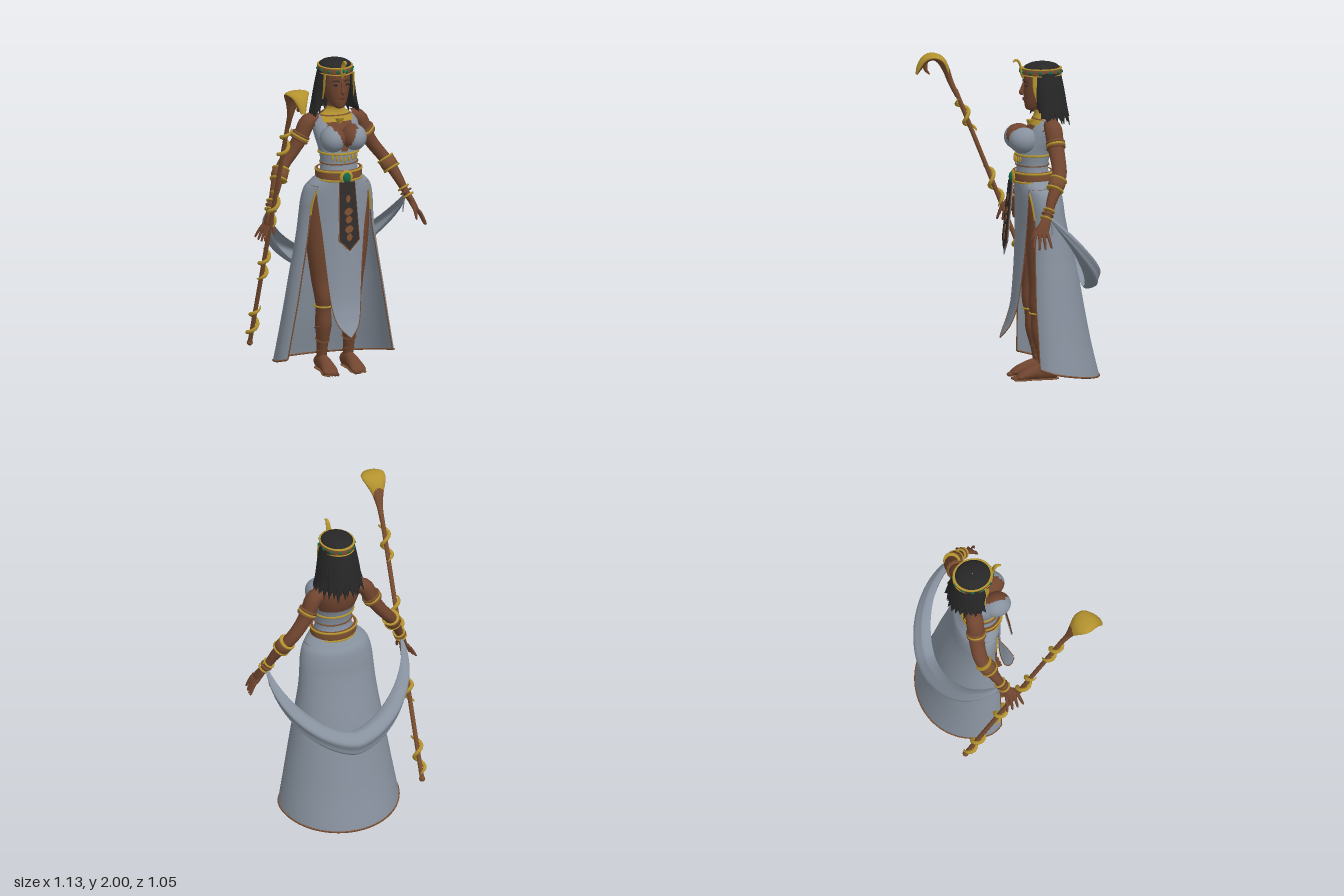
import * as THREE from 'three';
import { ParametricGeometry } from 'three/addons/geometries/ParametricGeometry.js';

const { sin, cos, PI, abs, max, min, floor } = Math;
const V = (x, y, z) => new THREE.Vector3(x, y, z);
const X = V(1, 0, 0), Y = V(0, 1, 0), Z = V(0, 0, 1);

// Catmull-Rom through rows of numbers, all columns at once
function spline(rows, t) {
  const n = rows.length - 1, f = min(max(t, 0), 1) * n, i = min(floor(f), n - 1), k = f - i;
  const [a, b, c, d] = [max(i - 1, 0), i, i + 1, min(i + 2, n)].map(j => rows[j]);
  return b.map((q, j) => q + 0.5 * k * (c[j] - a[j] + k * (2 * a[j] - 5 * q + 4 * c[j] - d[j] + k * (3 * (q - c[j]) + d[j] - a[j]))));
}

// Horizontal ellipses; rows are [y, halfWidth, zFront, zBack] from bottom to top
function loft(rows, seg = 40, stacks = rows.length * 4) {
  return new ParametricGeometry((u, v, o) => {
    const [y, w, f, b] = spline(rows, v), a = u * 2 * PI;
    o.set(w * sin(a), y, (f + b) / 2 + (f - b) / 2 * cos(a));
  }, seg, stacks);
}

// Ellipses swept along a path; rows are [x, y, z, radius across ref, radius along ref]
function sweep(rows, ref = Z, seg = 14, stacks = rows.length * 4) {
  return new ParametricGeometry((u, v, o) => {
    const p = spline(rows, v), a = spline(rows, v - 0.002), b = spline(rows, v + 0.002);
    const T = V(b[0] - a[0], b[1] - a[1], b[2] - a[2]).normalize();
    const B = ref.clone().addScaledVector(T, -ref.dot(T)).normalize(), A = B.clone().cross(T);
    o.set(p[0], p[1], p[2]).addScaledVector(A, p[3] * cos(u * 2 * PI)).addScaledVector(B, p[4] * sin(u * 2 * PI));
  }, seg, stacks);
}

// Sort faces into material groups by centre and normal
function paint(geo, count, pick) {
  const P = geo.attributes.position, I = geo.index.array, lists = Array.from({ length: count }, () => []);
  const tri = new THREE.Triangle(), c = V(), n = V();
  for (let i = 0; i < I.length; i += 3) {
    tri.setFromAttributeAndIndices(P, I[i], I[i + 1], I[i + 2]);
    lists[pick(tri.getMidpoint(c), tri.getNormal(n))].push(I[i], I[i + 1], I[i + 2]);
  }
  geo.setIndex(lists.flat());
  let start = 0;
  lists.forEach((l, i) => { geo.addGroup(start, l.length, i); start += l.length; });
  return geo;
}

export function createModel() {
  const root = new THREE.Group();
  const mat = (name, color, side = THREE.FrontSide) => Object.assign(new THREE.MeshStandardMaterial({ color, side }), { name });
  const skin = mat('skin', 0x70452f), cloth = mat('grey cloth', 0x87919e, THREE.DoubleSide), gold = mat('gold', 0xb3922e);
  const copper = mat('copper', 0x7a4e30), hair = mat('black hair', 0x272727, THREE.DoubleSide);
  const green = mat('green gem', 0x12694a), black = mat('black cloth', 0x2f2c2b), lip = mat('lips', 0x5e3226);
  const add = (name, geo, m) => {
    const mesh = new THREE.Mesh(geo, m);
    mesh.name = name;
    root.add(mesh);
    return mesh;
  };
  const ball = (name, m, x, y, z, rx, ry = rx, rz = rx) => {
    const b = add(name, new THREE.SphereGeometry(1, 14, 10), m);
    b.position.set(x, y, z);
    b.scale.set(rx, ry, rz);
    return b;
  };
  const band = (name, m, y0, y1, w, f, b, t = 0.015) => add(name, loft([[y0, w - t, f - t, b + t], [y0, w, f, b],
    [y1, w, f, b], [y1, w - t, f - t, b + t]], 48, 9), m);
  const ring = (name, m, p, dir, r, tube) => {
    const t = add(name, new THREE.TorusGeometry(r, tube, 8, 24), m);
    t.position.set(...p);
    t.quaternion.setFromUnitVectors(Z, dir.clone().normalize());
    return t;
  };

  // Torso with bodice, straps and broad collar
  const torso = loft([[1.16, .17, -.03, -.25], [1.22, .145, -.01, -.225], [1.28, .122, -.005, -.205], [1.34, .116, -.01, -.2],
    [1.42, .126, -.005, -.22], [1.5, .142, -.03, -.25], [1.57, .148, -.075, -.262], [1.615, .118, -.1, -.255],
    [1.65, .068, -.115, -.23], [1.68, .05, -.115, -.215], [1.74, .047, -.11, -.21]], 72, 100);
  add('torso', paint(torso, 4, p => {
    const ax = abs(p.x), front = p.z > -.17;
    if (front && p.y > 1.59 && p.y < 1.68 && ax < .1) return p.y > 1.622 && p.y < 1.63 ? 3 : 2;
    if (p.y < 1.45) return front && p.y > 1.42 && ax < .02 ? 0 : 1;
    if (!front) return 0;
    return (p.y < 1.56 && ax > (p.y - 1.41) * .42) || (ax > .08 && ax < .142 && p.y < 1.63) ? 1 : 0;
  }), [skin, cloth, gold, copper]);
  add('collarBib', new THREE.CylinderGeometry(.03, .012, .05, 6, 1), gold).position.set(0, 1.59, -.095);

  for (const s of [1, -1]) {
    const bust = new THREE.SphereGeometry(1, 44, 32).scale(.079, .082, .09).translate(s * .07, 1.5, -.032);
    add('bust', paint(bust, 2, p => (p.y > 1.42 && abs(p.x) < (p.y - 1.41) * .42) || (p.y > 1.562 && abs(p.x) < .08) ? 1 : 0), [cloth, skin]);
  }

  // Bands and chains at the waist
  band('underbustBand', gold, 1.398, 1.41, .13, .004, -.222);
  band('waistChain', copper, 1.335, 1.342, .122, 0, -.207, .008);
  band('belt', copper, 1.235, 1.3, .145, .015, -.23);
  for (const y of [1.232, 1.288]) band('beltEdge', gold, y, y + .012, .15, .02, -.235);
  for (let i = -3; i <= 3; i++) ball('pendant', gold, i * .026, 1.37 + .004 * abs(i), .004 - .0018 * i * i, .007, .02, .006);
  ball('buckle', gold, 0, 1.262, .018, .045, .045, .014);
  ball('buckleGem', green, 0, 1.262, .028, .026, .032, .016);

  // Skirt open at the front: [y, halfWidth, zCentre, depthFront, depthBack, startAngle]
  const skirtRows = [[.145, .385, -.17, .21, .345, 1.13], [.32, .352, -.165, .2, .3, 1.11], [.5, .32, -.16, .19, .265, 1.08],
    [.66, .292, -.16, .18, .232, 1.06], [.8, .267, -.157, .165, .2, 1.04], [.92, .25, -.155, .14, .17, 1.0], [1.02, .241, -.15, .13, .153, .97],
    [1.1, .234, -.14, .125, .152, .94], [1.17, .217, -.13, .12, .148, .88], [1.21, .19, -.12, .12, .132, .85], [1.25, .145, -.11, .11, .115, .85]];
  const skirtAt = (u, v, o) => {
    const [y, w, zc, df, db, a0] = spline(skirtRows, v), a = a0 + u * 2 * (PI - a0), c = cos(a);
    return o.set(w * sin(a), y - .13 * (1 - c) / 2 * (1 - v) ** 3, zc + (c > 0 ? df : db) * c);
  };
  add('skirt', new ParametricGeometry(skirtAt, 60, 40), cloth);
  const trim = (name, m, r, f) => add(name, new THREE.TubeGeometry(new THREE.CatmullRomCurve3(
    Array.from({ length: 30 }, (_, i) => f(i / 29))), 60, r, 6), m);
  trim('skirtHem', copper, .006, t => skirtAt(t, 0, V()));
  for (const u of [0, 1]) {
    trim('slitEdge', copper, .004, t => skirtAt(u, t * .62, V()));
    trim('slitGold', gold, .007, t => skirtAt(u, .6 + t * .22, V()));
  }

  // Front panel: [y, halfWidth, z, edge setback]
  const panelRows = [[.26, .006, .1, 0], [.31, .055, .075, .005], [.37, .082, .052, .012], [.48, .1, .028, .02], [.7, .12, .01, .03],
    [.92, .142, .001, .037], [1.05, .16, .001, .042], [1.17, .168, .003, .048], [1.25, .122, .008, .045]];
  const panelAt = (u, v, o) => {
    const [y, w, z, e] = spline(panelRows, v), k = u * 2 - 1;
    return o.set(k * w, y, z - e * k * k);
  };
  add('frontPanel', new ParametricGeometry(panelAt, 20, 40), cloth);
  for (const u of [0, 1]) trim('panelEdge', copper, .003, t => panelAt(u, t * .85, V()));

  // Hanging belt cloth with edging and patches
  const hanging = new THREE.Group();
  hanging.name = 'hangingCloth';
  hanging.position.set(0, 1.235, .026);
  hanging.rotation.x = -.1;
  root.add(hanging);
  const plate = (name, m, pts, z) => {
    const p = new THREE.Mesh(new THREE.ExtrudeGeometry(new THREE.Shape(pts.map(q => new THREE.Vector2(...q))), { depth: .004, bevelEnabled: false }), m);
    p.name = name;
    p.position.z = z;
    hanging.add(p);
  };
  const tongue = (w, h, tip) => [[-w * .75, 0], [-w, -h], [0, -tip], [w, -h], [w * .75, 0]];
  plate('clothTip', cloth, tongue(.074, .36, .46), 0);
  plate('clothEdge', copper, tongue(.07, .365, .435), .004);
  plate('clothFace', black, tongue(.064, .36, .425), .008);
  for (const [y, w] of [[.1, .016], [.18, .03], [.23, .024], [.29, .03], [.34, .02]])
    plate('clothPatch', copper, [[-w, -y - .01], [-w * .4, -y - .03], [w * .5, -y - .022], [w, -y], [w * .3, -y + .02], [-w * .6, -y + .012]], .012);

  for (const s of [1, -1]) {
    // Legs, feet and sandal straps
    add('leg', sweep([[s * .1, 1.2, -.12, .095, .09], [s * .115, 1, -.13, .092, .088], [s * .115, .8, -.13, .082, .085],
      [s * .108, .6, -.13, .062, .07], [s * .1, .48, -.12, .051, .06], [s * .093, .4, -.13, .046, .054], [s * .088, .3, -.14, .05, .06],
      [s * .088, .18, -.155, .036, .043], [s * .088, .1, -.165, .03, .038], [s * .088, .04, -.17, .032, .04]], Z, 22), skin);
    add('foot', sweep([[s * .085, .035, -.25, .004, .02], [s * .086, .042, -.225, .032, .038], [s * .088, .055, -.15, .036, .052],
      [s * .09, .04, -.06, .046, .037], [s * .093, .022, -.005, .048, .02], [s * .094, .016, .015, .03, .008]], Y, 18), skin);
    for (let i = 0; i < 5; i++) ball('toe', skin, s * (.06 + i * .017), .013, .022 - i * i * .0025, .009, .012, .022);
    add('sandalSole', sweep([[s * .086, .006, -.25, .01, .006], [s * .088, .006, -.2, .036, .006], [s * .09, .006, -.1, .036, .006],
      [s * .094, .006, -.01, .052, .006], [s * .094, .006, .035, .02, .006]], Y, 14), copper);
    ring('kneeBand', gold, [s * .094, .42, -.127], Y, .053, .006).scale.y = 1.1;
    [[.28, .053, -.142], [.2, .043, -.152], [.12, .036, -.162]].forEach(([y, r, z], i) =>
      ring('sandalStrap', copper, [s * .088, y, z], V(0, 1, i % 2 ? .35 : -.35), r, .004));

    // Arms with hands
    add('arm', sweep([[s * .1, 1.6, -.195, .036, .045], [s * .17, 1.575, -.2, .05, .055], [s * .215, 1.48, -.205, .045, .052],
      [s * .265, 1.4, -.21, .04, .047], [s * .32, 1.33, -.207, .038, .045], [s * .37, 1.26, -.18, .036, .04], [s * .41, 1.18, -.14, .03, .033],
      [s * .445, 1.1, -.11, .021, .025], [s * .472, 1.045, -.083, .019, .034], [s * .495, .99, -.058, .014, .042],
      [s * .503, .968, -.05, .004, .032]], Z, 20), skin);
    for (let i = 0; i < 4; i++) {
      const z = -.02 - i * .024, long = .09 - abs(i - 1.3) * .008;
      add('finger', sweep([[s * .49, 1.0, z, .009, .011], [s * (.515 + i * .003), .965, z + .008 - i * .004, .009, .01],
        [s * (.535 + i * .006), .99 - long, z + .022 - i * .012, .007, .007], [s * (.538 + i * .006), .984 - long, z + .023 - i * .012, .001, .001]], Z, 8), skin);
    }
    add('thumb', sweep([[s * .465, 1.045, -.07, .012, .012], [s * .472, 1.0, -.02, .011, .012], [s * .474, .95, .002, .008, .008],
      [s * .474, .94, .003, .001, .001]], X, 8), skin);

    // Arm jewellery
    const upper = V(s * .05, -.085, -.005), fore = V(s * .075, -.15, .08);
    [-.014, 0, .014].forEach((d, i) => ring('armlet', i === 1 ? gold : copper, [s * (.217 + d * .5), 1.487 - d, -.205], upper, .052, .009));
    const cuff = (name, m, r, h, d) => {
      const c = add(name, new THREE.LatheGeometry([[.6, -.5], [1, -.5], [1.06, 0], [1, .5], [.6, .5]].map(([a, b]) => new THREE.Vector2(a * r, b * h)), 28), m);
      c.position.set(s * .362, 1.268, -.18).addScaledVector(fore.clone().normalize(), d);
      c.quaternion.setFromUnitVectors(Y, fore.clone().normalize());
    };
    cuff('forearmCuff', copper, .05, .075, 0);
    cuff('cuffRim', gold, .053, .014, -.035);
    cuff('cuffRim', gold, .053, .014, .035);
    for (let i = 0; i < 3; i++) ring('bracelet', i === 1 ? copper : gold, [s * (.436 + i * .011), 1.12 - i * .023, -.117 + i * .012], fore, .033, .0065);
    add('shawlTie', sweep([[s * .445, 1.08, -.12, .004, .01], [s * .445, 1.02, -.135, .004, .008], [s * .44, .96, -.135, .002, .004]], Z, 8), cloth);

    // Face details and temple ornaments
    ball('eye', hair, s * .036, 1.832, -.06, .017, .0065, .007);
    add('brow', sweep([[s * .014, 1.853, -.05, .003, .003], [s * .035, 1.862, -.054, .004, .003], [s * .058, 1.852, -.072, .002, .002]], Y, 8), hair);
    add('templeOrnament', sweep([[s * .094, 1.9, -.1, .005, .014], [s * .098, 1.82, -.105, .005, .018], [s * .102, 1.74, -.12, .004, .01]], Z, 8), gold);
  }

  // Head
  add('head', loft([[1.675, .012, -.085, -.11], [1.685, .034, -.064, -.15], [1.71, .053, -.056, -.2], [1.75, .069, -.052, -.235],
    [1.8, .081, -.05, -.255], [1.86, .087, -.05, -.262], [1.91, .086, -.054, -.262], [1.95, .07, -.07, -.25]]), skin);
  add('nose', sweep([[0, 1.85, -.052, .005, .008], [0, 1.81, -.04, .008, .012], [0, 1.787, -.034, .012, .014], [0, 1.775, -.048, .004, .008]], Z, 12), skin);
  ball('upperLip', lip, 0, 1.751, -.051, .022, .005, .009);
  ball('lowerLip', lip, 0, 1.742, -.052, .018, .006, .01);

  // Hair: cap, back shell and loose locks
  add('hairCap', loft([[1.915, .1, -.047, -.278], [1.945, .097, -.055, -.272], [1.962, .078, -.08, -.25], [1.973, .042, -.12, -.21],
    [1.976, .002, -.163, -.167]]), hair);
  const around = (a, r, y, back = 0) => [r * sin(a), y, -.168 + r * 1.05 * cos(a) - back];
  add('hairBack', new ParametricGeometry((u, v, o) => {
    const [y, r] = spline([[1.64, .135], [1.75, .12], [1.85, .106], [1.93, .098]], v);
    o.set(...around(1.3 + u * (2 * PI - 2.6), r, y));
  }, 40, 16), hair);
  let seed = 7;
  const rand = () => (seed = (seed * 16807) % 2147483647) / 2147483647;
  for (let i = 0; i < 30; i++) {
    const a = 1.08 + (2 * PI - 2.16) * i / 29, back = max(0, cos(a)) * .07, r = .14 + rand() * .025;
    const end = 1.58 + rand() * .06 + max(0, cos(a) + .3) * .05;
    add('hairLock', sweep([[...around(a, .098, 1.92), .018, .007], [...around(a, .112, 1.82, back * .4), .025, .014],
      [...around(a + (rand() - .5) * .1, .13, 1.71, back), .024, .014], [...around(a + (rand() - .5) * .2, r, end, back), .002, .002]],
      V(sin(a), 0, cos(a)), 8, 12), hair);
  }

  // Circlet with gems and rearing snake
  band('circlet', copper, 1.898, 1.936, .104, -.042, -.285);
  for (const y of [1.893, 1.934]) band('circletRim', gold, y, y + .007, .107, -.039, -.288);
  for (let i = 0; i < 12; i++) {
    const a = (i + .5) * PI / 6;
    ball('circletGem', green, .105 * sin(a), 1.917, -.1635 + .122 * cos(a), .011);
  }
  add('browSnake', sweep([[0, 1.875, -.045, .004, .006], [0, 1.91, -.034, .008, .016], [0, 1.95, -.03, .007, .016], [0, 1.98, -.018, .008, .013],
    [0, 1.99, .0, .008, .01], [0, 1.978, .018, .003, .004]], X, 12), gold);
  ball('snakeGem', green, 0, 1.925, -.026, .009, .013, .007);

  // Shawl draped behind from wrist to wrist
  add('shawl', new ParametricGeometry((u, v, o) => {
    const a = (u - .5) * PI * .98, c = cos(a), k = .12 + .88 * c ** .8, f = (v - .5) * 4.4;
    const r = k * (.065 * cos(f) + .006 * sin(f * 5) - .008);
    o.set((.45 + r) * sin(a), .62 + .45 * (1 - c) ** .75 + k * .075 * sin(f), -.12 - (.34 + r) * c);
  }, 56, 26), cloth);

  // Staff with coiled snake and hooded head
  const foot = V(-.49, .15, -.36), top = V(-.49, 1.73, .275), axis = top.clone().sub(foot).normalize(), side = axis.clone().cross(X);
  const along = y => foot.clone().lerp(top, (y - .15) / 1.58);
  add('staffPole', sweep([.155, .68, 1.2, 1.73].map(y => [...along(y).toArray(), .014, .014]), X), copper);
  ball('staffFoot', copper, ...along(.168).toArray(), .019);
  for (const [y0, y1] of [[.2, .43], [.62, .82], [1, 1.25], [1.46, 1.68]]) {
    const rows = Array.from({ length: 21 }, (_, i) => {
      const t = i / 20, a = t * PI * 3.6 + y0 * 5, r = .012 * min(1, .25 + 5 * min(t, 1 - t));
      return [...along(y0 + (y1 - y0) * t).addScaledVector(X, .027 * cos(a)).addScaledVector(side, .027 * sin(a)).toArray(), r, r];
    });
    add('staffCoil', sweep(rows, axis, 10, 60), gold);
  }
  const hood = sweep([[1.69, .262, .015, .015], [1.78, .305, .018, .02], [1.86, .335, .022, .04], [1.92, .37, .026, .068], [1.943, .42, .021, .076],
    [1.925, .468, .022, .052], [1.88, .5, .018, .03], [1.835, .52, .006, .016]].map(([y, z, a, b]) => [-.49, y, z, a, b]), X, 28, 50);
  add('staffHead', paint(hood, 2, (p, n) => p.z < .325 || n.y * (1.84 - p.y) + n.z * (.42 - p.z) > 0 ? 1 : 0), [gold, copper]);
  add('staffJaw', sweep([[-.49, 1.92, .46, .012, .03], [-.49, 1.87, .465, .012, .025], [-.49, 1.84, .445, .006, .014], [-.49, 1.83, .435, .001, .002]], X, 12), copper);
  return root;
}
